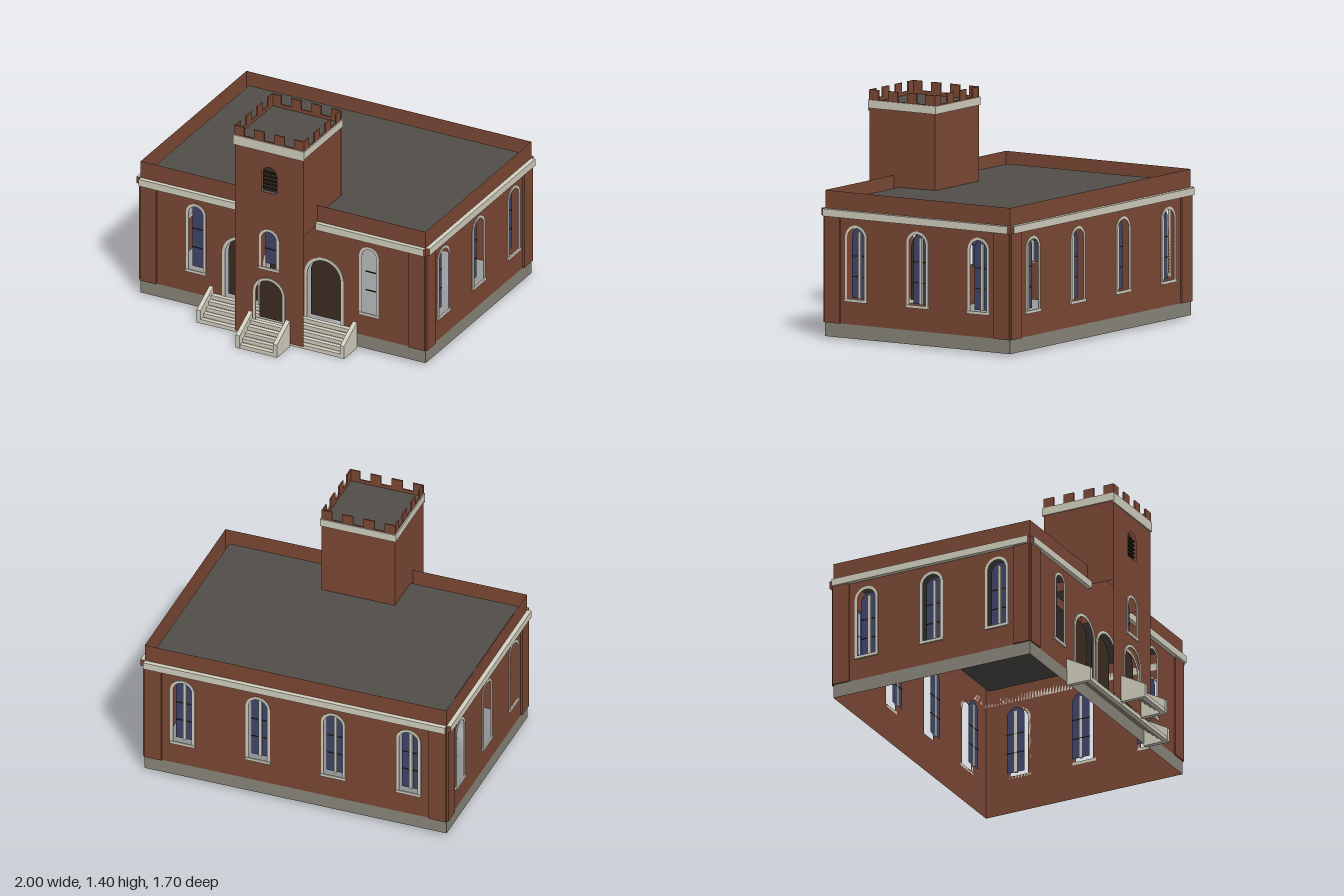
import * as THREE from 'three';

const mat = (name, color, side = THREE.FrontSide) => {
  const m = new THREE.MeshStandardMaterial({ color, side });
  m.name = name;
  return m;
};
const brick = mat('brick', 0x7c4835, THREE.DoubleSide);
const stone = mat('pale stone', 0xd3cfc0);
const base = mat('foundation stone', 0x89867b);
const door = mat('dark wood', 0x3b2c21, THREE.DoubleSide);
const glass = mat('blue glass', 0x40466a, THREE.DoubleSide);
const roofing = mat('roofing', 0x514d48, THREE.DoubleSide);
const iron = mat('dark bars', 0x241c16);

const add = (parent, name, geometry, material) => {
  const m = new THREE.Mesh(geometry, material);
  m.name = name;
  parent.add(m);
  return m;
};

// Box given by its limits on each axis
const box = (parent, name, x0, x1, y0, y1, z0, z1, material) => {
  const m = add(parent, name, new THREE.BoxGeometry(x1 - x0, y1 - y0, z1 - z0), material);
  m.position.set((x0 + x1) / 2, (y0 + y1) / 2, (z0 + z1) / 2);
  return m;
};

// Round-headed outline: half width r, from y0 up to the crown y1
const arch = ({ x, r, y0, y1 }, t = 0, Type = THREE.Shape) => {
  const s = new Type(), R = r + t;
  s.moveTo(x - R, y0);
  s.lineTo(x + R, y0);
  s.lineTo(x + R, y1 - r);
  s.absarc(x, y1 - r, R, 0, Math.PI, false);
  s.lineTo(x - R, y0);
  return s;
};

const archPanel = (parent, name, o, z, material) => {
  add(parent, name, new THREE.ShapeGeometry(arch(o), 16), material).position.z = z;
};

// Flat wall sheet facing +z with arched openings
const sheet = (parent, name, w, y0, y1, openings, material) => {
  const s = new THREE.Shape([[-w, y0], [w, y0], [w, y1], [-w, y1]].map(p => new THREE.Vector2(...p)));
  openings.forEach(o => s.holes.push(arch(o, 0, THREE.Path)));
  return add(parent, name, new THREE.ShapeGeometry(s, 16), material);
};

// Raised stone surround
const surround = (parent, o, t) => {
  const s = arch(o, t);
  s.holes.push(arch(o, 0, THREE.Path));
  add(parent, 'archTrim', new THREE.ExtrudeGeometry(s, { depth: 0.005, bevelEnabled: false, curveSegments: 16 }), stone);
};

// Window: surround, sill, recessed pane, glazing bars and optional mullion
const addWindow = (parent, o, { pane = true, mullion = false, bars = [0.385, 0.51] }) => {
  surround(parent, o, 0.018);
  box(parent, 'sill', o.x - o.r - 0.021, o.x + o.r + 0.021, o.y0 - 0.018, o.y0, 0, 0.01, stone);
  if (pane) archPanel(parent, 'glassPane', o, -0.044, glass);
  bars.forEach(y => box(parent, 'glazingBar', o.x - o.r, o.x + o.r, y - 0.003, y + 0.003, -0.046, -0.041, iron));
  if (mullion) box(parent, 'mullion', o.x - 0.009, o.x + 0.009, o.y0, o.y1 - 0.025, -0.046, -0.031, stone);
};

const addDoor = (parent, o, t) => {
  surround(parent, o, t);
  archPanel(parent, 'doorPanel', o, -0.041, door);
};

const corniceMaterials = [brick, brick, stone, stone, stone, stone];

// One main wall with foundation facing, corner pilasters and cornice
const mainWall = (parent, name, w, openings, cornice) => {
  const g = new THREE.Group();
  g.name = name;
  parent.add(g);
  sheet(g, 'brickWall', w, 0.015, 0.9, openings, brick);
  sheet(g, 'foundation', w, 0.015, 0.1, [], base).position.z = 0.002;
  for (const s of [-1, 1]) {
    const a = s * w, b = s * (w - 0.11);
    box(g, 'pilaster', Math.min(a, b), Math.max(a, b), 0.1, 0.745, 0, 0.012, brick);
  }
  cornice.forEach(([a, b]) => box(g, 'cornice', a, b, 0.745, 0.79, 0, 0.028, corniceMaterials));
  return g;
};

// Flight of steps between sloping cheek walls, rising from zFront to zBack
const stairs = (parent, name, w, zBack, zFront) => {
  const g = new THREE.Group();
  g.name = name;
  parent.add(g);
  const n = 5, h = 0.13 / n, d = zFront - zBack, run = d / n;
  for (let i = 0; i < n; i++) {
    const z = zFront - i * run;
    box(g, 'step', -w, w, i * h, (i + 1) * h, z - run, z - 0.002, stone);
  }
  const cheek = new THREE.Shape([[0, 0], [d, 0], [d, 0.085], [0, 0.175]].map(p => new THREE.Vector2(...p)));
  const geo = new THREE.ExtrudeGeometry(cheek, { depth: 0.028, bevelEnabled: false });
  geo.rotateY(-Math.PI / 2);
  for (const x of [-w, w + 0.028]) add(g, 'cheekWall', geo, stone).position.set(x, 0, zBack);
};

export function createModel() {
  const model = new THREE.Group();
  model.name = 'church';
  const W = 0.97, zF = 0.513, zB = -0.822, D = (zF - zB) / 2, zC = (zF + zB) / 2;

  // Front wall: three arched doors and two tall windows
  const doors = [-0.28, 0, 0.28].map(x => ({ x, r: 0.113, y0: 0.13, y1: 0.535 }));
  const tall = [-0.593, 0.588].map(x => ({ x, r: 0.049, y0: 0.255, y1: 0.685 }));
  const front = mainWall(model, 'frontWall', W, [...doors, ...tall], [[-W, -0.235], [0.235, W]]);
  front.position.z = zF;
  doors.forEach(o => addDoor(front, o, 0.02));
  tall.forEach(o => addWindow(front, o, { pane: o.x < 0 }));

  // Side and back walls with rows of two-light windows
  const plain = (name, w, xs, px, pz, turn) => {
    const openings = xs.map(x => ({ x, r: 0.06, y0: 0.255, y1: 0.685 }));
    const g = mainWall(model, name, w, openings, [[-w, w]]);
    openings.forEach(o => addWindow(g, o, { mullion: true }));
    g.position.set(px, 0, pz);
    g.rotation.y = turn;
  };
  const sideXs = [-0.443, 0, 0.443];
  plain('leftWall', D, sideXs, W, zC, Math.PI / 2);
  plain('rightWall', D, sideXs, -W, zC, -Math.PI / 2);
  plain('backWall', W, [-0.727, -0.242, 0.242, 0.727], 0, zB, Math.PI);

  // Main roof, set inside the parapet
  const flat = (name, x, z0, z1, y) => {
    const g = new THREE.PlaneGeometry(2 * x, z1 - z0).rotateX(-Math.PI / 2);
    add(model, name, g, roofing).position.set(0, y, (z0 + z1) / 2);
  };
  flat('mainRoof', W - 0.04, zB + 0.04, zF - 0.04, 0.83);

  // Tower: tall front sheet, with shorter sides and back above the roof
  const tower = new THREE.Group();
  tower.name = 'tower';
  model.add(tower);
  const T = 0.235, tF = 0.688, tB = 0.215, tC = (tF + tB) / 2, roofY = 1.325;
  const face = new THREE.Group();
  face.name = 'towerFront';
  face.position.z = tF;
  tower.add(face);
  const entry = { x: 0, r: 0.09, y0: 0.13, y1: 0.41 };
  const light = { x: 0, r: 0.05, y0: 0.5, y1: 0.74 };
  const belfry = { x: 0, r: 0.052, y0: 1.005, y1: 1.175 };
  sheet(face, 'towerFrontWall', T, 0.02, 1.345, [entry, light, belfry], brick);
  addDoor(face, entry, 0.017);
  addWindow(face, light, { bars: [0.6] });
  archPanel(face, 'louverPanel', belfry, -0.02, door);
  for (let i = 0; i < 5; i++) {
    const y = 1.03 + i * 0.026;
    box(face, 'louverSlat', -0.046, 0.046, y - 0.003, y + 0.003, -0.018, -0.004, iron);
  }
  const towerSides = [
    ['towerLeft', T, tC, Math.PI / 2],
    ['towerRight', -T, tC, -Math.PI / 2],
    ['towerBack', 0, tB, Math.PI],
  ].map(([name, x, z, turn]) => {
    const g = new THREE.Group();
    g.name = name;
    g.position.set(x, 0, z);
    g.rotation.y = turn;
    tower.add(g);
    sheet(g, 'towerWall', 0.2365, 0.77, 1.345, [], brick);
    return g;
  });

  // Stone band, low parapet and battlements round the tower
  [face, ...towerSides].forEach((g, i) => {
    box(g, 'towerBand', -0.242, 0.242, i ? 1.293 : 1.278, 1.342, 0, 0.008, stone);
    box(g, 'towerParapet', -0.2365, 0.2365, roofY, 1.347, -0.008, 0.001, brick);
    for (const [a, b] of [[-0.238, -0.17], [-0.103, -0.034], [0.034, 0.103], [0.17, 0.238]]) {
      box(g, 'merlon', a, b, 1.345, 1.405, -0.008, 0.001, brick);
    }
  });
  flat('towerRoof', T - 0.006, tB + 0.006, tF - 0.006, roofY);

  // Entrance steps: a wide flight at the wall and a narrow one at the tower
  stairs(model, 'wideSteps', 0.475, zF, 0.675);
  stairs(model, 'towerSteps', 0.113, tF, 0.852);
  return model;
}
